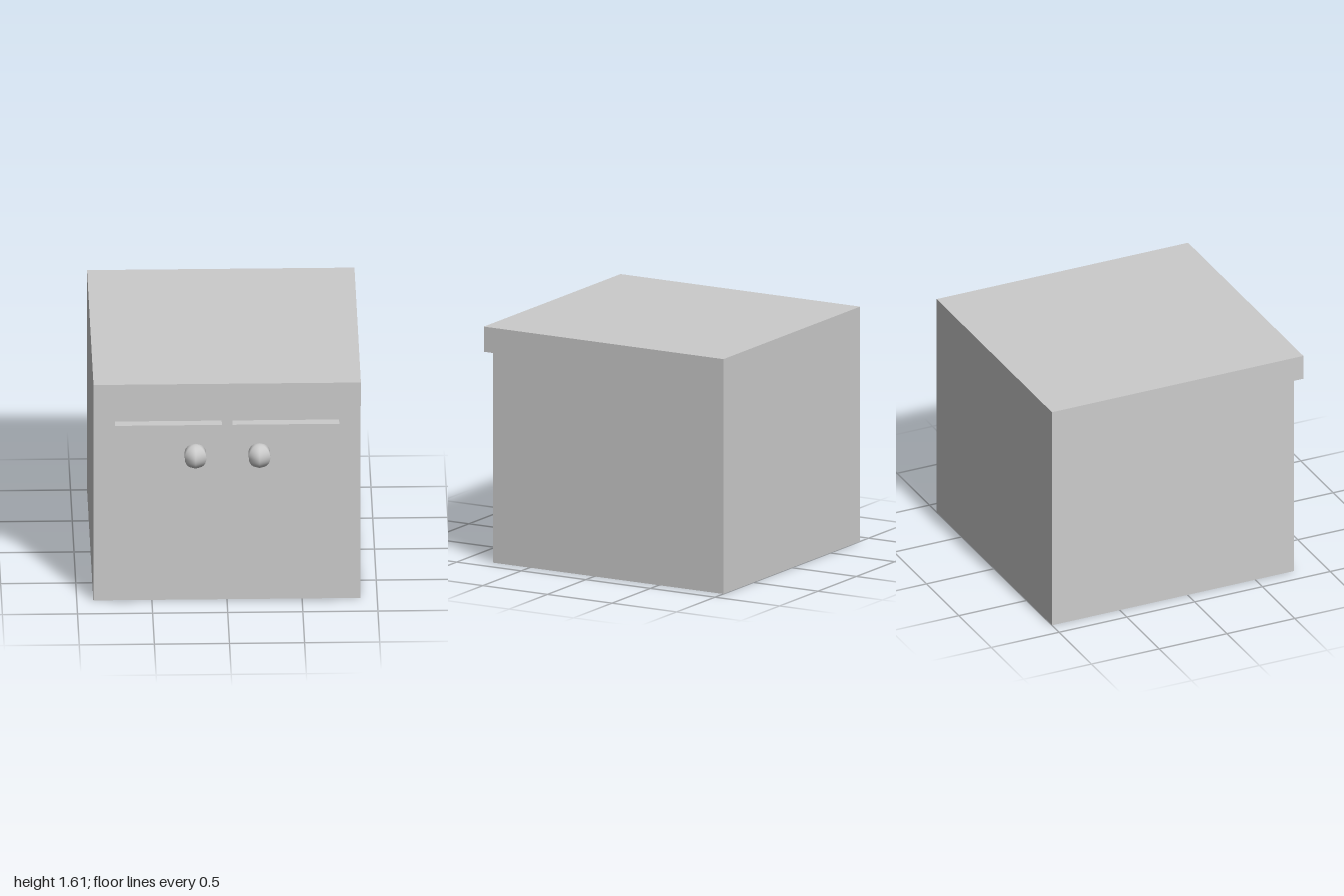
import * as THREE from 'three';

const material = new THREE.MeshStandardMaterial({ color: 0xcccccc });

function addMesh(parent, name, geometry, x = 0, y = 0, z = 0) {
  const mesh = new THREE.Mesh(geometry, material);
  mesh.name = name;
  mesh.position.set(x, y, z);
  parent.add(mesh);
  return mesh;
}

export function createModel() {
  const group = new THREE.Group();
  group.name = 'cabinet';

  const halfWidth = 0.89, height = 1.605, back = -1;
  const bodyFront = 0.785, topFront = 0.855, lipBottom = 1.433;

  // Cabinet body with overhanging top: side profile (z, y) extruded across the width
  const profile = new THREE.Shape([
    [back, 0], [bodyFront, 0], [bodyFront, lipBottom],
    [topFront, lipBottom], [topFront, height], [back, height],
  ].map(([z, y]) => new THREE.Vector2(-z, y)));
  const bodyGeometry = new THREE.ExtrudeGeometry(profile, { depth: 2 * halfWidth, bevelEnabled: false });
  bodyGeometry.translate(0, 0, -halfWidth).rotateY(Math.PI / 2);
  addMesh(group, 'cabinetBody', bodyGeometry);

  // Doors and knobs, mirrored left and right
  const doorWidth = 0.711, doorHeight = 1.232, doorDepth = topFront - bodyFront;
  const knobGeometry = new THREE.SphereGeometry(0.083, 6, 32).rotateY(Math.PI / 2);
  for (const [side, s] of [['left', 1], ['right', -1]]) {
    addMesh(group, `${side}Door`, new THREE.BoxGeometry(doorWidth, doorHeight, doorDepth),
      s * 0.391, 0.073 + doorHeight / 2, bodyFront + doorDepth / 2);
    addMesh(group, `${side}Knob`, knobGeometry, s * 0.213, 1.107, 0.917);
  }

  return group;
}
